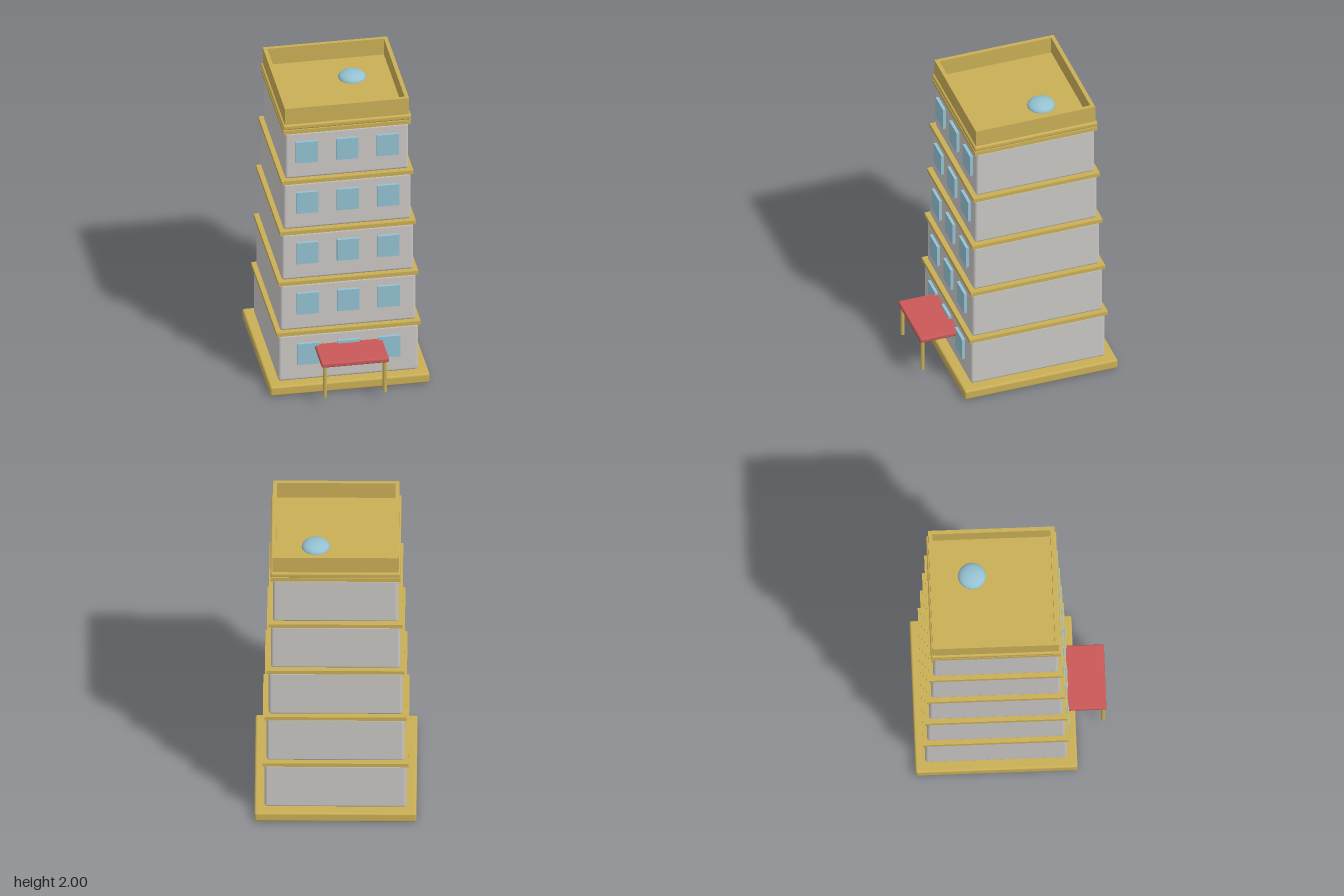
import * as THREE from 'three';
import { RoundedBoxGeometry } from 'three/addons/geometries/RoundedBoxGeometry.js';

export function createModel() {
  const model = new THREE.Group();
  model.name = 'apartmentBlock';

  const mat = (name, color) => {
    const m = new THREE.MeshStandardMaterial({ color });
    m.name = name;
    return m;
  };
  const gold = mat('ochreTrim', 0xc9ae56);
  const grey = mat('greyWall', 0xc9c6c3);
  const blue = mat('blueGlass', 0x94c1d1);
  const red = mat('redCanopy', 0xc95858);

  const add = (name, geometry, material, x, y, z, parent = model) => {
    const mesh = new THREE.Mesh(geometry, material);
    mesh.name = name;
    mesh.position.set(x, y, z);
    parent.add(mesh);
    return mesh;
  };
  const rounded = (w, h, d, r) => new RoundedBoxGeometry(w, h, d, 3, r);

  const CZ = -0.096; // the tower sits behind the canopy
  const PITCH = 0.356;

  // Ground slab
  add('baseSlab', rounded(1.014, 0.067, 1.014, 0.014), gold, 0, 0.0335, CZ);

  // Storeys narrow slightly towards the top, each with a ledge and three windows
  for (let i = 0; i < 5; i++) {
    const storey = new THREE.Group();
    storey.name = `storey${i + 1}`;
    storey.position.set(0, i * PITCH, CZ);
    model.add(storey);

    const half = 0.444 - i * 0.013;
    add('walls', rounded(half * 2, 0.33, half * 2, 0.018), grey, 0, 0.232, 0, storey);
    const ledge = (half + 0.0135) * 2;
    add('ledge', new THREE.BoxGeometry(ledge, 0.026, ledge), gold, 0, 0.41, 0, storey);
    for (const x of [-0.257, 0, 0.257]) {
      add('window', new THREE.BoxGeometry(0.139, 0.15, 0.03), blue, x, 0.26, half + 0.004, storey);
    }
  }

  // Roof slab
  add('roofSlab', rounded(0.815, 0.036, 0.815, 0.012), gold, 0, 1.868, CZ);

  // Hollow parapet around the roof
  const square = (Type, h) => new Type([[-h, -h], [h, -h], [h, h], [-h, h]]
    .map(([x, y]) => new THREE.Vector2(x, y)));
  const frame = square(THREE.Shape, 0.395);
  frame.holes.push(square(THREE.Path, 0.37));
  const parapet = new THREE.ExtrudeGeometry(frame, { depth: 0.118, bevelEnabled: false });
  parapet.rotateX(-Math.PI / 2);
  add('parapet', parapet, gold, 0, 1.882, CZ);

  // Shallow skylight dome
  const dome = new THREE.SphereGeometry(0.089, 16, 8, 0, Math.PI * 2, 0, Math.PI / 2);
  dome.scale(1, 0.48, 1);
  add('skylight', dome, blue, 0.125, 1.885, -0.226);

  // Entrance canopy on two posts
  add('canopy', rounded(0.428, 0.032, 0.26, 0.01), red, 0, 0.3, 0.473);
  for (const side of [-1, 1]) {
    add('canopyPost', new THREE.CylinderGeometry(0.0135, 0.0135, 0.226, 16), gold, side * 0.19, 0.18, 0.582);
  }

  return model;
}
